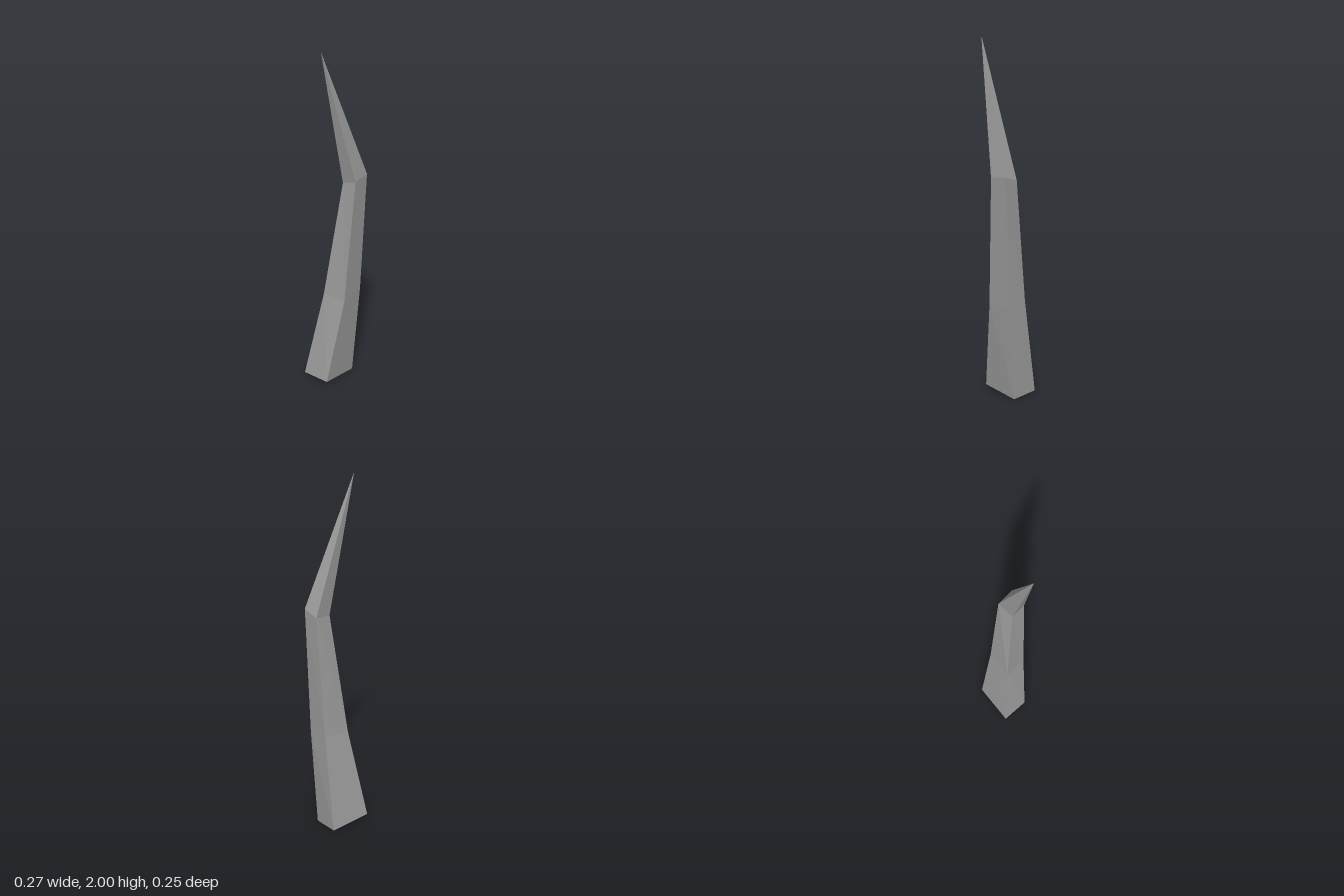
import * as THREE from 'three';

// Four-sided rings, each: front-left, front-right, back-right, back-left as seen from the front
const RINGS = [
  [[-0.106, 0.022, 0.043], [0.122, 0, 0.031], [0.123, 0.01, -0.125], [-0.125, 0.026, -0.117]],
  [[-0.015, 0.54, 0.093], [0.131, 0.56, 0.078], [0.123, 0.57, -0.045], [-0.04, 0.55, -0.042]],
  [[0.036, 1.265, 0.123], [0.137, 1.28, 0.113], [0.127, 1.25, 0.021], [0.026, 1.24, 0.04]],
];
const TIP = [-0.137, 2, 0.04];

export function createModel() {
  const pos = [];
  const tri = (a, b, c) => pos.push(...a, ...b, ...c);

  // Bent shaft: quads between successive rings, then a pointed end
  for (let i = 0; i < 4; i++) {
    const j = (i + 1) % 4;
    for (let r = 0; r < RINGS.length - 1; r++) {
      const lo = RINGS[r], hi = RINGS[r + 1];
      tri(lo[i], lo[j], hi[i]);
      tri(lo[j], hi[j], hi[i]);
    }
    const last = RINGS[RINGS.length - 1];
    tri(last[i], last[j], TIP);
  }

  // Closed base
  const [a, b, c, d] = RINGS[0];
  tri(a, d, c);
  tri(a, c, b);

  const geometry = new THREE.BufferGeometry();
  geometry.setAttribute('position', new THREE.Float32BufferAttribute(pos, 3));
  geometry.computeVertexNormals();

  // Dark grey, faceted
  const spike = new THREE.Mesh(
    geometry,
    new THREE.MeshStandardMaterial({ color: 0x9c9c9c, flatShading: true })
  );
  spike.name = 'bentSpike';

  const group = new THREE.Group();
  group.name = 'curvedSpike';
  group.add(spike);
  return group;
}
